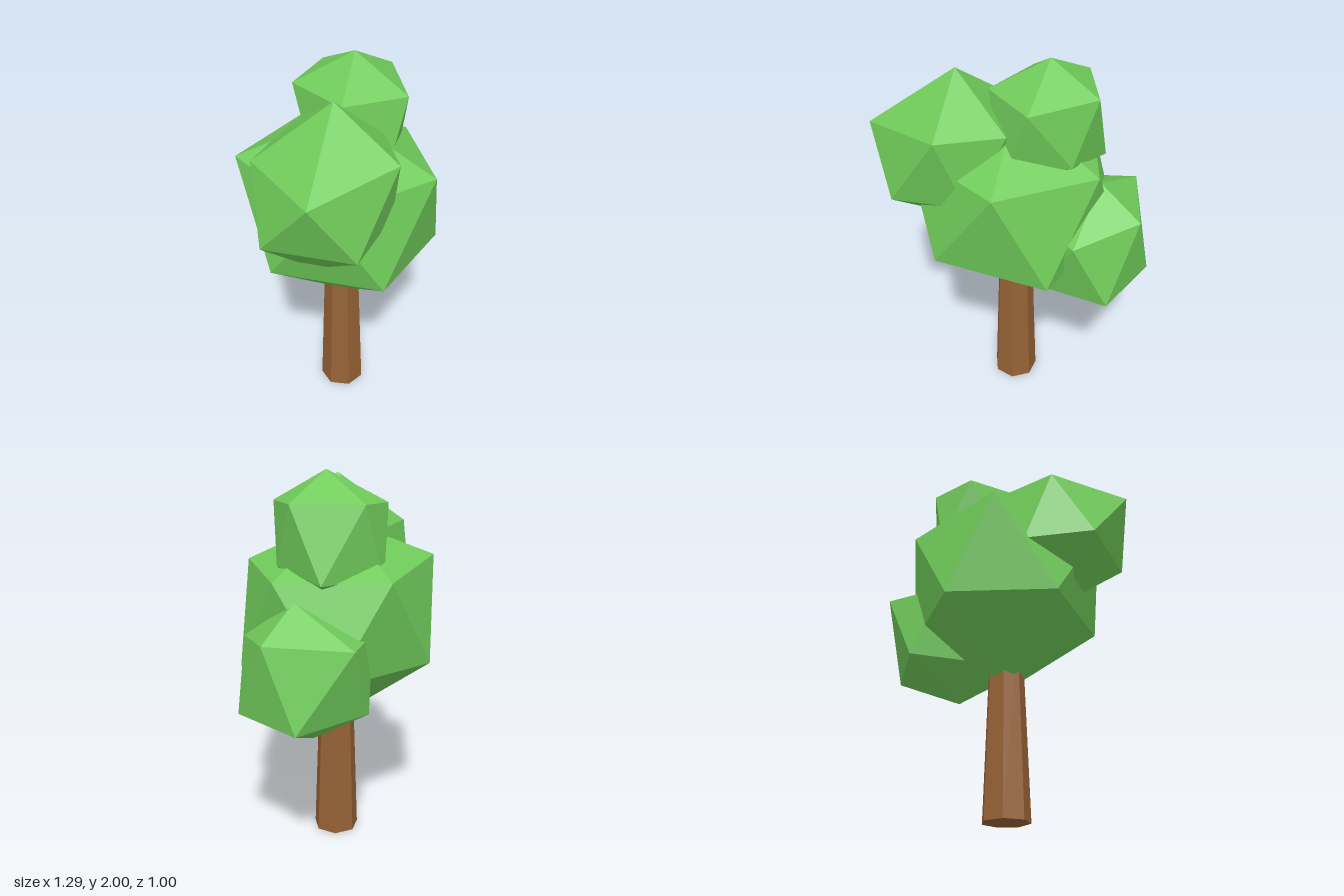
import * as THREE from 'three';
import { ConvexGeometry } from 'three/addons/geometries/ConvexGeometry.js';

const leafGreen = new THREE.MeshStandardMaterial({ color: 0x70cb5a, flatShading: true });
leafGreen.name = 'leafGreen';
const barkBrown = new THREE.MeshStandardMaterial({ color: 0x966235, flatShading: true });
barkBrown.name = 'barkBrown';

// Twenty-sided leaf clump: six half-axes, each mirrored through the centre
// unless an uneven opposite corner is given for it
function leafClump(name, centre, axes, opposite = {}) {
  const points = [];
  axes.forEach((axis, i) => {
    const v = new THREE.Vector3(...axis);
    points.push(v, opposite[i] ? new THREE.Vector3(...opposite[i]) : v.clone().negate());
  });
  const mesh = new THREE.Mesh(new ConvexGeometry(points), leafGreen);
  mesh.name = name;
  mesh.position.set(...centre);
  return mesh;
}

export function createModel() {
  const tree = new THREE.Group();
  tree.name = 'tree';

  // Seven-sided tapering trunk, its top hidden in the leaves
  const trunk = new THREE.Mesh(new THREE.CylinderGeometry(0.089, 0.123, 0.95, 7), barkBrown);
  trunk.name = 'trunk';
  trunk.position.set(-0.022, 0.475, -0.012);
  trunk.rotation.y = Math.PI;
  tree.add(trunk);

  // Each clump: its top point first, then the ring of five below it
  tree.add(
    leafClump('mainLeaves', [-0.025, 1.27, -0.018], [
      [0, 0.48, 0], [0.19, 0.24, 0.462], [0.48, 0.225, -0.005],
      [0.162, 0.24, -0.475], [-0.405, 0.275, -0.315], [-0.42, 0.24, 0.33],
    ], { 0: [0, -0.605, 0] }),
    leafClump('rightLeaves', [-0.292, 1.515, 0.152], [
      [0.056, 0.435, 0.013], [-0.308, 0.145, 0.238], [0.162, 0.205, 0.323],
      [0.36, 0.172, 0.035], [0.112, 0.178, -0.343], [-0.248, 0.17, -0.207],
    ]),
    leafClump('topLeaves', [0.125, 1.67, -0.083], [
      [0.005, 0.33, 0.003], [0.055, 0.19, -0.28], [0.27, 0.19, -0.002],
      [0.075, 0.17, 0.293], [-0.235, 0.175, 0.165], [-0.22, 0.17, -0.2],
    ], { 1: [-0.055, -0.18, 0.295], 5: [0.22, -0.12, 0.133] }),
    leafClump('leftLeaves', [0.345, 1.04, -0.13], [
      [0.065, 0.37, 0.01], [0.295, 0.21, 0], [0.075, 0.21, -0.375],
      [0.105, 0.16, 0.315], [-0.275, 0.19, 0.19], [-0.255, 0.19, -0.215],
    ], { 0: [-0.065, -0.37, 0.01], 2: [-0.15, -0.19, 0.28] }),
  );
  return tree;
}
